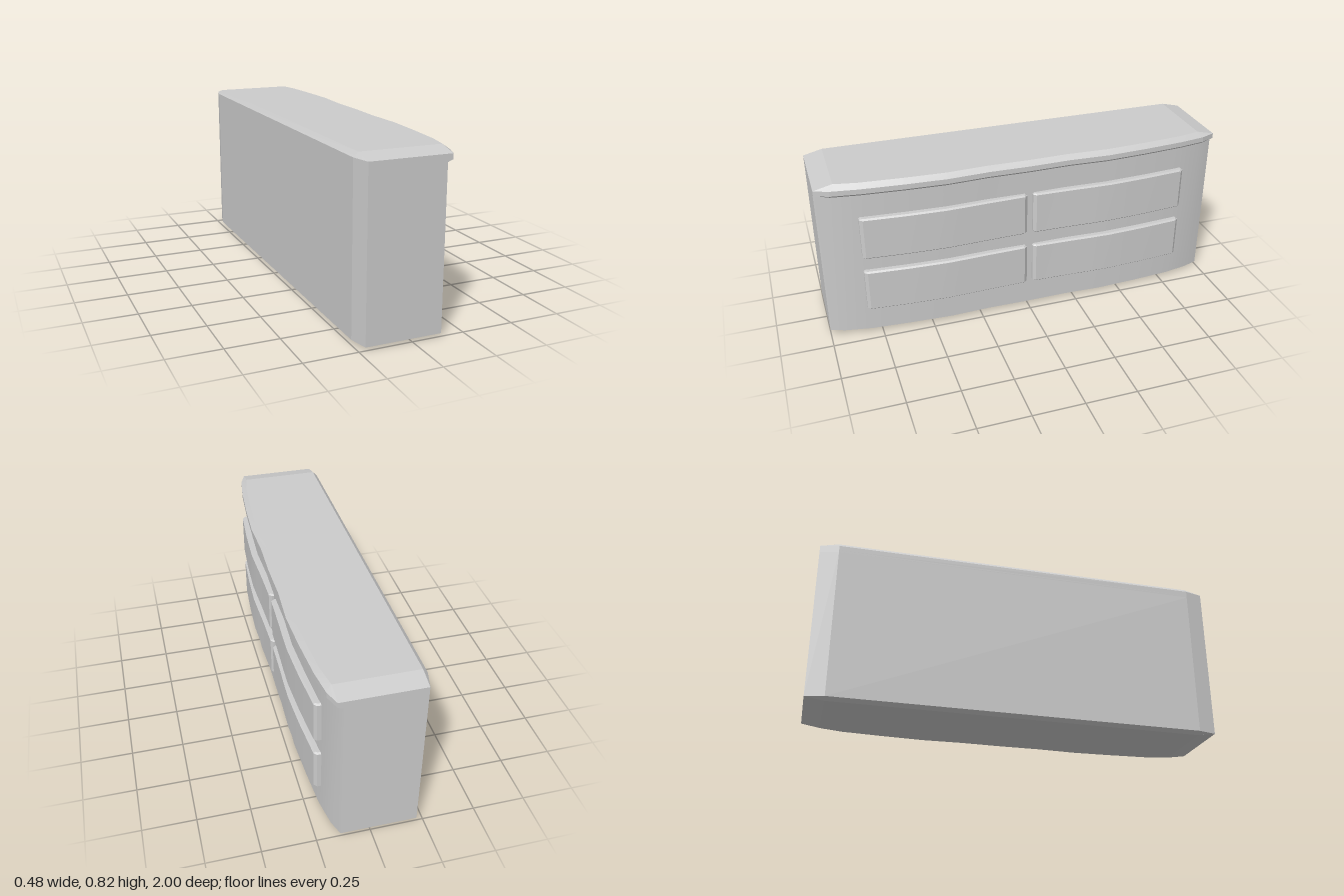
import * as THREE from 'three';
import { toCreasedNormals } from 'three/addons/utils/BufferGeometryUtils.js';

const material = new THREE.MeshStandardMaterial({ color: 0xcccccc });

// Shared stations along half of the serpentine front, from the end to the middle
const Z = [1, 0.93, 0.8, 0.6, 0.4, 0.2, 0];
const BODY = [0.14, 0.165, 0.188, 0.202, 0.211, 0.204, 0.207];
const LIP = [0.165, 0.192, 0.211, 0.227, 0.237, 0.228, 0.232];

// Skin closed plan loops stacked in y; each loop is a list of [x, z]
function loft(levels) {
  const n = levels[0].loop.length;
  const pos = [];
  const index = [];
  for (const { y, loop } of levels) for (const [x, z] of loop) pos.push(x, y, z);
  for (let k = 0; k < levels.length - 1; k++) {
    for (let i = 0; i < n; i++) {
      const a = k * n + i;
      const b = k * n + (i + 1) % n;
      index.push(a, a + n, b, b, a + n, b + n);
    }
  }
  // End caps, oriented by the sign of each triangle
  [0, levels.length - 1].forEach((k) => {
    const pts = levels[k].loop.map(([x, z]) => new THREE.Vector2(x, z));
    for (const [a, b, c] of THREE.ShapeUtils.triangulateShape(pts, [])) {
      const faceUp = THREE.ShapeUtils.area([pts[a], pts[b], pts[c]]) < 0;
      const [p, q] = faceUp === (k > 0) ? [b, c] : [c, b];
      index.push(k * n + a, k * n + p, k * n + q);
    }
  });
  const g = new THREE.BufferGeometry();
  g.setAttribute('position', new THREE.Float32BufferAttribute(pos, 3));
  g.setIndex(index);
  return toCreasedNormals(g, 0.2);
}

// Full cabinet outline: curved front from -z to +z, then the chamfered back
function outline(front, inset = false) {
  const half = Z.map((z, i) => [front[i], inset ? Math.min(z, i ? 0.9 : 0.91) : z]);
  const mirrored = half.slice(0, -1).map(([x, z]) => [x, -z]);
  const end = inset ? 0.91 : 1;
  const back = inset ? -0.22 : -0.242;
  return [...mirrored, ...half.reverse(),
    [-0.22, end], [back, 0.909], [back, -0.909], [-0.22, -end]];
}

const shrink = (front, d) => front.map((x, i) => (i ? x - d : x));

// Interpolated drawer face position
function drawerX(z) {
  const t = Math.abs(z);
  const zs = [0, 0.2, 0.4, 0.6, 0.82];
  const xs = [0.23, 0.234, 0.242, 0.233, 0.215];
  let i = 0;
  while (i < 3 && t > zs[i + 1]) i++;
  return THREE.MathUtils.mapLinear(t, zs[i], zs[i + 1], xs[i], xs[i + 1]);
}

// Drawer front that follows the curve, with bevelled edges
function drawerGeometry(z0, z1, y0, y1) {
  const plan = (e) => {
    const loop = [[0.18, z0 + e], [drawerX(z0) - 0.012 - e * 0.5, z0 + e]];
    for (let i = 0; i <= 8; i++) {
      const z = THREE.MathUtils.lerp(z0 + 0.015, z1 - 0.015, i / 8);
      loop.push([drawerX(z) - e, z]);
    }
    loop.push([drawerX(z1) - 0.012 - e * 0.5, z1 - e], [0.18, z1 - e]);
    return loop;
  };
  return loft([
    { y: y0, loop: plan(0.008) }, { y: y0 + 0.007, loop: plan(0) },
    { y: y1 - 0.007, loop: plan(0) }, { y: y1, loop: plan(0.008) },
  ]);
}

export function createModel() {
  const group = new THREE.Group();
  const add = (name, geometry) => {
    const mesh = new THREE.Mesh(geometry, material);
    mesh.name = name;
    group.add(mesh);
  };

  // Cabinet with a bevelled foot
  add('body', loft([
    { y: 0, loop: outline(shrink(BODY, 0.022), true) },
    { y: 0.015, loop: outline(BODY) },
    { y: 0.765, loop: outline(BODY) },
  ]));

  // Top board overhanging the front only
  const under = shrink(LIP, 0.01);
  under[0] = 0.14;
  add('top', loft([
    { y: 0.765, loop: outline(under) },
    { y: 0.775, loop: outline(LIP) },
    { y: 0.8, loop: outline(LIP) },
    { y: 0.822, loop: outline(shrink(LIP, 0.024), true) },
  ]));

  // Two rows of two drawers
  for (const [row, y] of [['lower', 0.145], ['upper', 0.432]]) {
    add(row + 'LeftDrawer', drawerGeometry(0.01, 0.815, y, y + 0.214));
    add(row + 'RightDrawer', drawerGeometry(-0.825, -0.02, y, y + 0.214));
  }
  return group;
}
